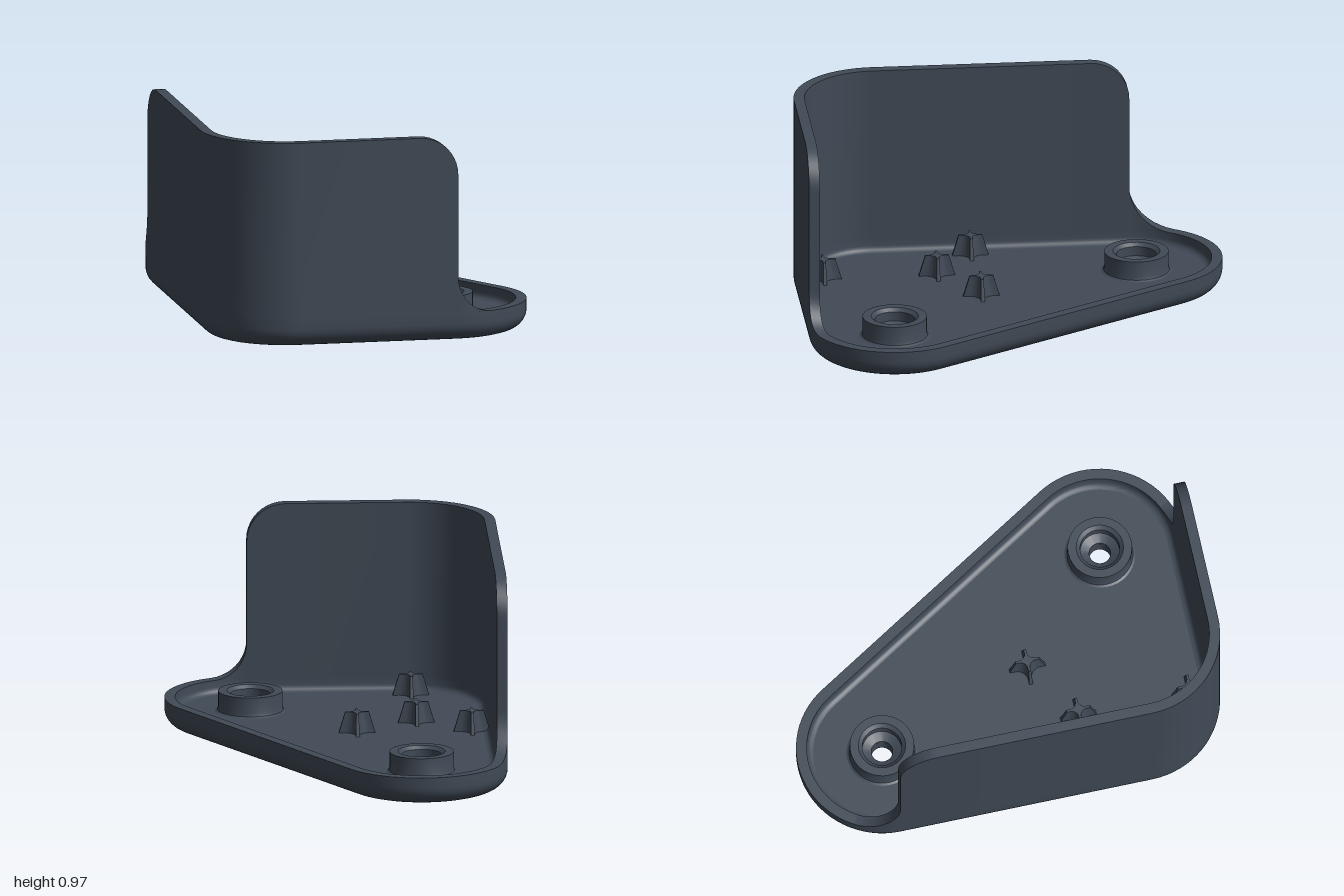
import * as THREE from 'three';
import { mergeGeometries, toCreasedNormals } from 'three/addons/utils/BufferGeometryUtils.js';

const RIM = 0.135, FLOOR = 0.07, TOP = 0.97, R = 0.4, INNER = 0.35;
const PI = Math.PI;
// Corner centres (x, z) of the rounded triangular outline
const BACK = [-0.37, -0.6], CORNER = [-0.37, 0.6], FRONT = [0.37, 0.6];
const SCREWS = [BACK, FRONT];
const SLOPE = Math.atan2(-0.74, 1.2); // direction the slanted side faces

const at = (c, angle, r, y) =>
  new THREE.Vector3(c[0] + r * Math.cos(angle), y, c[1] + r * Math.sin(angle));

// Skins neighbouring columns of points with quads
function loft(columns) {
  const pos = [];
  for (let i = 0; i < columns.length - 1; i++) {
    const a = columns[i], b = columns[i + 1];
    for (let k = 0; k < a.length - 1; k++)
      for (const p of [b[k], a[k], a[k + 1], b[k], a[k + 1], b[k + 1]]) pos.push(p.x, p.y, p.z);
  }
  const g = new THREE.BufferGeometry();
  g.setAttribute('position', new THREE.Float32BufferAttribute(pos, 3));
  return toCreasedNormals(g, 0.6);
}

// Stations around the full outline: corner centre and outward angle
function outline() {
  const list = [];
  const arc = (c, from, to, n) => {
    for (let i = 0; i <= n; i++) list.push([c, from + (to - from) * i / n]);
  };
  arc(FRONT, SLOPE, PI / 2, 24);
  arc(CORNER, PI / 2, PI, 18);
  arc(BACK, PI, SLOPE + 2 * PI, 30);
  return list;
}

// Flat rounded triangle with the screw holes cut out
function plate(r, y, up) {
  const s = up ? -1 : 1;
  const shape = new THREE.Shape(outline().map(([c, a]) => {
    const p = at(c, a, r, 0);
    return new THREE.Vector2(p.x, s * p.z);
  }));
  for (const [x, z] of SCREWS) {
    const hole = new THREE.Path();
    hole.absarc(x, s * z, 0.05, 0, 2 * PI, true);
    shape.holes.push(hole);
  }
  return new THREE.ShapeGeometry(shape, 16).rotateX(s * PI / 2).translate(0, y, 0);
}

// Tray rim: rounded lower edge, flat lip and filleted inside
function trayGeometry() {
  const profile = [];
  for (let i = 0; i <= 8; i++) {
    const t = i / 8 * PI / 2;
    profile.push([0.315 + 0.085 * Math.sin(t), 0.085 * (1 - Math.cos(t))]);
  }
  profile.push([R, RIM], [INNER, RIM]);
  for (let i = 0; i <= 5; i++) {
    const t = i / 5 * PI / 2;
    profile.push([INNER - 0.03 * (1 - Math.cos(t)), FLOOR + 0.03 * (1 - Math.sin(t))]);
  }
  const stations = outline();
  stations.push(stations[0]);
  return loft(stations.map(([c, a]) => profile.map(([r, y]) => at(c, a, r, y))));
}

// Tall wall along the front and one side, with rounded and flared ends
function wallGeometry() {
  const stations = [];
  const N = 10, round = 0.18;
  const end = (fillet, onArc, onStraight) => {
    const list = [];
    for (let i = 0; i <= N; i++) {
      const t = i / N * PI / 2;
      list.push([...onArc(fillet * (1 - Math.sin(t)) / R), RIM + fillet * (1 - Math.cos(t))]);
    }
    for (let i = 0; i <= N; i++) {
      const t = i / N * PI / 2;
      list.push([...onStraight(round * (1 - Math.cos(t))), TOP - round * (1 - Math.sin(t))]);
    }
    return list;
  };
  stations.push(...end(0.17, d => [FRONT, PI / 2 - d], u => [[FRONT[0] - u, FRONT[1]], PI / 2]));
  for (let i = 0; i <= 18; i++) stations.push([CORNER, PI / 2 + PI / 2 * i / 18, TOP]);
  stations.push(...end(0.22, d => [BACK, PI + d], u => [[BACK[0], BACK[1] + u], PI]).reverse());
  return loft(stations.map(([c, a, top]) =>
    [at(c, a, R, RIM), at(c, a, R, top), at(c, a, INNER, top), at(c, a, INNER, RIM)]));
}

// Screw boss with a countersunk through hole
function bossGeometry() {
  const points = [[0.165, FLOOR], [0.154, 0.076], [0.15, 0.09], [0.15, 0.165], [0.11, 0.165],
    [0.092, 0.15], [0.092, 0.105], [0.05, 0.085], [0.05, 0]];
  const g = new THREE.LatheGeometry(points.map(p => new THREE.Vector2(...p)), 40);
  return toCreasedNormals(g, 0.5);
}

// Tapered four-armed locating post
function postGeometry() {
  const arm = 0.085, w = 0.009, s = new THREE.Shape();
  s.moveTo(arm, -w);
  for (let k = 0; k < 4; k++) {
    const c = Math.round(Math.cos(k * PI / 2)), n = Math.round(Math.sin(k * PI / 2));
    const turn = (x, y) => [x * c - y * n, x * n + y * c];
    s.lineTo(...turn(arm, w));
    s.lineTo(...turn(0.05, w));
    s.quadraticCurveTo(...turn(0.018, 0.018), ...turn(w, 0.05));
    s.lineTo(...turn(w, arm));
  }
  const g = new THREE.ExtrudeGeometry(s, { depth: 0.1, bevelEnabled: false, curveSegments: 6 });
  g.rotateX(-PI / 2);
  const p = g.attributes.position;
  for (let i = 0; i < p.count; i++) {
    const f = 1 - 3.5 * p.getY(i);
    p.setXYZ(i, p.getX(i) * f, p.getY(i), p.getZ(i) * f);
  }
  return toCreasedNormals(g, 0.5);
}

// Inlay on the underside: a ring and linked dots, repeated
function inlayGeometry() {
  const nodes = { a: [-0.006, -0.346, 0.04], b: [-0.08, -0.187, 0.03], c: [-0.17, 0.012, 0.03],
    d: [-0.308, -0.058, 0.052], e: [-0.207, -0.25, 0.05] };
  const tiles = [
    [0.154, 0.164, ['ab', 'bc', 'cd', 'de', 'eb']],
    [-0.154, 0.77, ['ab', 'bc', 'cd', 'de', 'eb']],
    [-0.126, -0.376, ['ab', 'bc', 'cd']],
    [-0.44, 0.225, ['ab', 'bc', 'be']],
    [0.456, 0.739, ['ab', 'be', 'ed', 'dc']],
  ];
  const parts = [];
  const add = (g, x, z, turn = 0) =>
    parts.push(g.rotateX(PI / 2).rotateY(turn).translate(x, -0.002, z));
  tiles.forEach(([x, z, links], i) => {
    const half = i === 4;
    add(new THREE.RingGeometry(0.035, 0.07, 24, 1, half ? -0.4 : 0, half ? PI : 2 * PI), x, z);
    for (const name of new Set(links.join('')))
      add(new THREE.CircleGeometry(nodes[name][2], 16), x + nodes[name][0], z + nodes[name][1]);
    for (const [p, q] of links) {
      const [x1, z1] = nodes[p], [x2, z2] = nodes[q];
      add(new THREE.PlaneGeometry(Math.hypot(x2 - x1, z2 - z1), 0.038),
        x + (x1 + x2) / 2, z + (z1 + z2) / 2, -Math.atan2(z2 - z1, x2 - x1));
    }
  });
  return mergeGeometries(parts);
}

export function createModel() {
  const group = new THREE.Group();
  const slate = new THREE.MeshStandardMaterial({ color: 0x404a56 });
  slate.name = 'slate';
  const copper = new THREE.MeshStandardMaterial({ color: 0xc8964e });
  copper.name = 'copper';
  const add = (name, geometry, material = slate) => {
    const mesh = new THREE.Mesh(geometry, material);
    mesh.name = name;
    group.add(mesh);
    return mesh;
  };

  add('trayRim', trayGeometry());
  add('trayFloor', plate(0.32, FLOOR, true));
  add('trayUnderside', plate(0.315, 0, false));
  add('wall', wallGeometry());

  const boss = bossGeometry();
  SCREWS.forEach(([x, z], i) => add('screwBoss' + (i + 1), boss).position.set(x, 0, z));

  const post = postGeometry();
  [[-0.64, 0.15], [-0.105, 0.15], [-0.39, 0.33], [-0.39, 0.86]].forEach(([x, z], i) =>
    add('locatingPost' + (i + 1), post).position.set(x, FLOOR, z));

  add('undersideInlay', inlayGeometry(), copper);
  return group;
}
